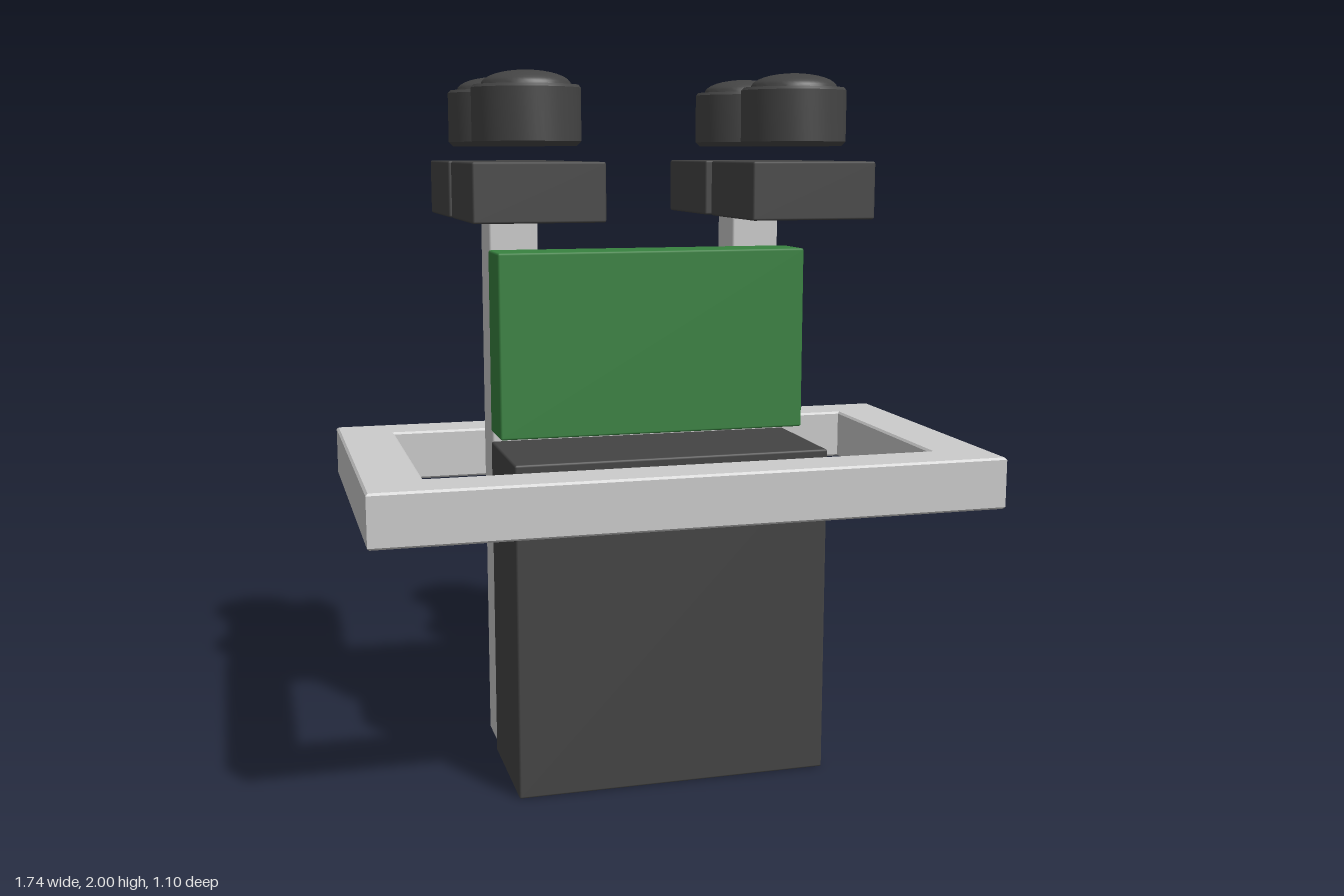
import * as THREE from 'three';
import { RoundedBoxGeometry } from 'three/addons/geometries/RoundedBoxGeometry.js';
import { toCreasedNormals } from 'three/addons/utils/BufferGeometryUtils.js';

const grey = new THREE.MeshStandardMaterial({ color: 0xcccccc });
const dark = new THREE.MeshStandardMaterial({ color: 0x444444 });
const green = new THREE.MeshStandardMaterial({ color: 0x388240 });

// Slightly bevelled box given by its limits on each axis
function block(name, [x0, x1], [y0, y1], [z0, z1], material) {
  const geometry = new RoundedBoxGeometry(x1 - x0, y1 - y0, z1 - z0, 1, 0.006);
  const mesh = new THREE.Mesh(geometry, material);
  mesh.position.set((x0 + x1) / 2, (y0 + y1) / 2, (z0 + z1) / 2);
  mesh.name = name;
  return mesh;
}

// Rectangular ring with bevelled edges, lying flat
function ringFrame() {
  const b = 0.006;
  const rect = (path, x, z0, z1) =>
    path.moveTo(-x, z0).lineTo(x, z0).lineTo(x, z1).lineTo(-x, z1).closePath();
  const shape = new THREE.Shape();
  rect(shape, 0.87 - b, -0.55 + b, 0.42 - b);
  const hole = new THREE.Path();
  rect(hole, 0.71 + b, -0.405 - b, 0.28 + b);
  shape.holes.push(hole);
  const geometry = new THREE.ExtrudeGeometry(shape, {
    depth: 0.145 - 2 * b, bevelEnabled: true, bevelThickness: b, bevelSize: b, bevelSegments: 1,
  });
  geometry.rotateX(-Math.PI / 2).translate(0, 0.81 + b, 0);
  const mesh = new THREE.Mesh(geometry, grey);
  mesh.name = 'ringFrame';
  return mesh;
}

// Round cap: chamfered drum with a shallow dome on top
function capGeometry() {
  const points = [[0, 1.797], [0.136, 1.797], [0.149, 1.81], [0.149, 1.952], [0.142, 1.96], [0.122, 1.96]]
    .map(([r, y]) => new THREE.Vector2(r, y));
  for (let i = 1; i <= 8; i++) {
    const a = (i / 8) * Math.PI / 2;
    points.push(new THREE.Vector2(i === 8 ? 0 : 0.122 * Math.cos(a), 1.96 + 0.04 * Math.sin(a)));
  }
  return toCreasedNormals(new THREE.LatheGeometry(points, 48), 0.6);
}

export function createModel() {
  const model = new THREE.Group();
  model.name = 'model';

  // Body blocks and surrounding ring
  model.add(block('lowerBox', [-0.45, 0.45], [0, 0.95], [-0.09, 0.283], dark));
  model.add(block('greenPanel', [-0.45, 0.45], [0.98, 1.505], [-0.09, 0.07], green));
  model.add(ringFrame());

  // Two tall posts behind the body
  for (const [name, x] of [['rightPost', -0.37], ['leftPost', 0.365]]) {
    model.add(block(name, [x - 0.071, x + 0.071], [0.01, 1.745], [-0.263, -0.12], grey));
  }

  // Four square pads, each with a round cap hovering above it
  const capShape = capGeometry();
  for (const [side, x] of [['right', -0.368], ['left', 0.403]]) {
    for (const [end, padZ, capZ] of [['Front', 0.077, 0.088], ['Back', -0.361, -0.352]]) {
      model.add(block(side + end + 'Pad', [x - 0.18, x + 0.18], [1.595, 1.755], [padZ - 0.19, padZ + 0.19], dark));
      const cap = new THREE.Mesh(capShape, dark);
      cap.position.set(x, 0, capZ);
      cap.name = side + end + 'Cap';
      model.add(cap);
    }
  }
  return model;
}
